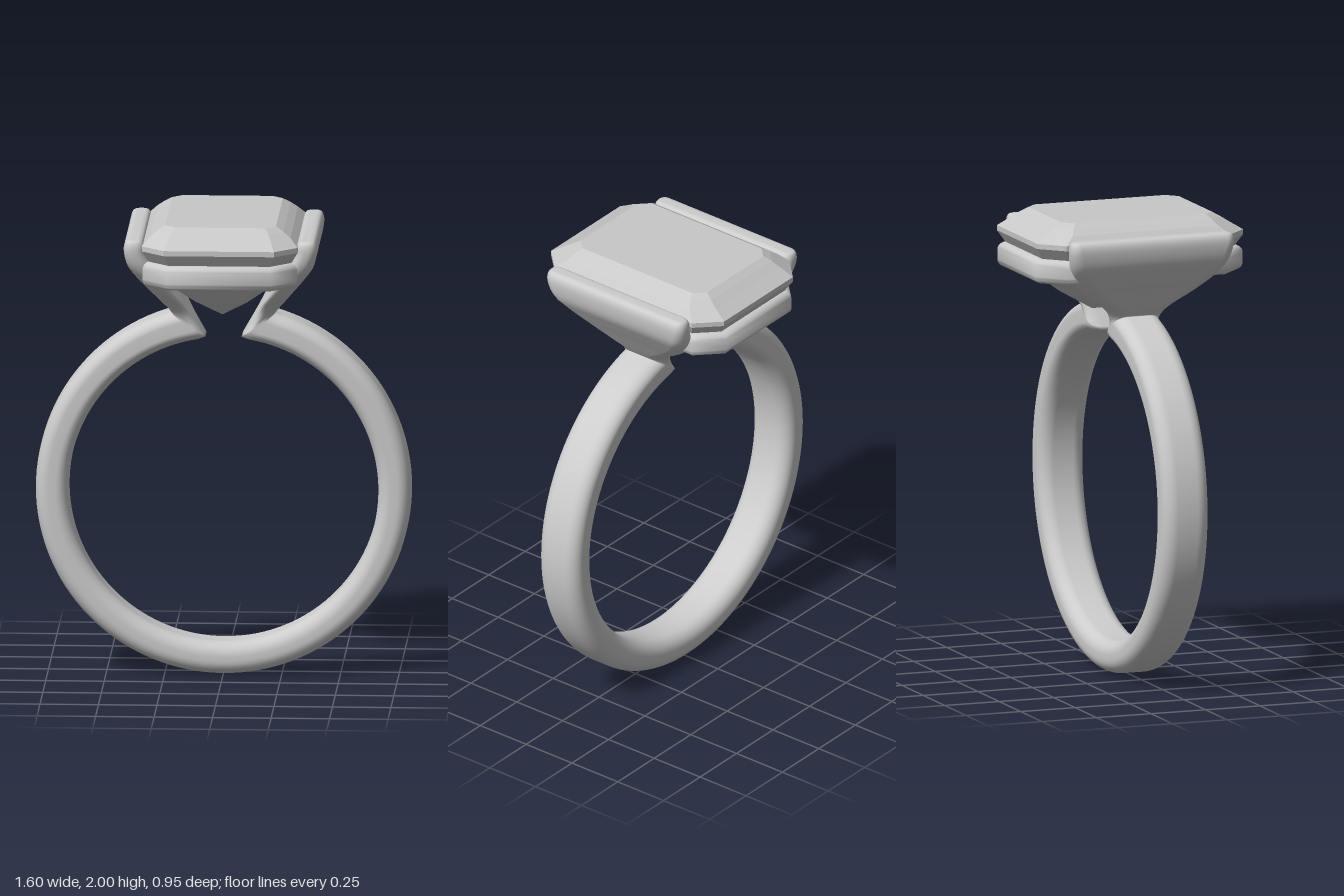
import * as THREE from 'three';
import { toCreasedNormals } from 'three/addons/utils/BufferGeometryUtils.js';

const metal = new THREE.MeshStandardMaterial({ color: 0xcccccc });
metal.name = 'polished metal';
const stone = new THREE.MeshStandardMaterial({ color: 0xc8c8c8 });
stone.name = 'pale stone';

// Skins a list of equal-length point rings and closes both ends
function loft(rings) {
  const n = rings[0].length, pos = [], index = [];
  rings.forEach(r => r.forEach(p => pos.push(p.x, p.y, p.z)));
  for (let i = 0; i < rings.length - 1; i++) {
    for (let j = 0; j < n; j++) {
      const k = (j + 1) % n;
      const a = i * n + j, b = i * n + k, c = b + n, d = a + n;
      index.push(a, b, c, a, c, d);
    }
  }
  [0, rings.length - 1].forEach((i, end) => {
    const mid = new THREE.Vector3();
    rings[i].forEach(p => mid.addScaledVector(p, 1 / n));
    const m = pos.length / 3;
    pos.push(mid.x, mid.y, mid.z);
    for (let j = 0; j < n; j++) {
      const a = i * n + j, b = i * n + (j + 1) % n;
      if (end) index.push(m, a, b);
      else index.push(m, b, a);
    }
  });
  const g = new THREE.BufferGeometry();
  g.setAttribute('position', new THREE.Float32BufferAttribute(pos, 3));
  g.setIndex(index);
  return g;
}

// Rounded-rectangle section from an inner to an outer point, w = half width in z
function section(ix, iy, ox, oy, w) {
  const len = Math.hypot(ox - ix, oy - iy), a = len / 2;
  const ux = (ox - ix) / len, uy = (oy - iy) / len;
  const r = Math.min(a * 0.88, 0.06), ring = [], steps = 7;
  for (let q = 0; q < 4; q++) {
    const su = q === 0 || q === 3 ? 1 : -1, sv = q < 2 ? 1 : -1;
    for (let s = 0; s <= steps; s++) {
      const t = (q + s / steps) * Math.PI / 2;
      const u = su * (a - r) + r * Math.cos(t), v = sv * (w - r) + r * Math.sin(t);
      ring.push(new THREE.Vector3((ix + ox) / 2 + ux * u, (iy + oy) / 2 + uy * u, v));
    }
  }
  return ring;
}

// Octagonal outline with cut corners, counter-clockwise about +y
function octagon(hx, hz, cut) {
  const x = hx - cut, z = hz - cut;
  return [[x, hz], [hx, z], [hx, -z], [x, -hz], [-x, -hz], [-hx, -z], [-hx, z], [-x, hz]];
}

// Open band whose two ends fold back and flare into wide claws
function bandGeometry() {
  // inner x, inner y, outer x, outer y, half width
  const rows = [
    [0.077, 1.466, 0.222, 1.573, 0.105], [0.105, 1.515, 0.235, 1.590, 0.108],
    [0.150, 1.590, 0.255, 1.618, 0.138], [0.190, 1.660, 0.305, 1.690, 0.235],
    [0.235, 1.735, 0.355, 1.760, 0.315], [0.285, 1.815, 0.397, 1.825, 0.357],
    [0.320, 1.880, 0.412, 1.890, 0.372], [0.325, 1.915, 0.410, 1.922, 0.372],
    [0.335, 1.936, 0.400, 1.938, 0.364], [0.350, 1.943, 0.385, 1.943, 0.345],
  ];
  const inner = new THREE.CatmullRomCurve3(rows.map(r => new THREE.Vector3(r[0], r[1], r[4])));
  const outer = new THREE.CatmullRomCurve3(rows.map(r => new THREE.Vector3(r[2], r[3], 0)));
  const claw = side => {
    const rings = [];
    for (let i = 0; i <= 36; i++) {
      const p = inner.getPoint(i / 36), q = outer.getPoint(i / 36);
      rings.push(section(side * p.x, p.y, side * q.x, q.y, p.z));
    }
    return rings;
  };
  const hoop = [], cy = 0.802, rIn = 0.667 - 0.005, rOut = 0.802, N = 120;
  const inStart = Math.atan2(0.077, 0.664), outStart = Math.atan2(0.222, 0.771);
  for (let i = 1; i < N; i++) {
    const a = THREE.MathUtils.lerp(inStart, Math.PI * 2 - inStart, i / N);
    const b = THREE.MathUtils.lerp(outStart, Math.PI * 2 - outStart, i / N);
    hoop.push(section(rIn * Math.sin(a), cy + rIn * Math.cos(a),
      rOut * Math.sin(b), cy + rOut * Math.cos(b), 0.105));
  }
  const g = loft([...claw(1).reverse(), ...hoop, ...claw(-1)]);
  g.computeVertexNormals();
  return g;
}

// Step-cut stone: keel, pavilion steps, girdle, crown steps, table
function stoneGeometry() {
  const levels = [ // y, half x, half z, corner cut
    [1.580, 0.004, 0.130, 0.003], [1.650, 0.110, 0.250, 0.035],
    [1.750, 0.235, 0.375, 0.070], [1.850, 0.305, 0.440, 0.090],
    [1.900, 0.333, 0.472, 0.097], [1.922, 0.333, 0.472, 0.097],
    [1.957, 0.300, 0.415, 0.080], [1.980, 0.270, 0.380, 0.062],
    [2.000, 0.237, 0.345, 0.045],
  ];
  const rings = levels.map(([y, hx, hz, c]) =>
    octagon(hx, hz, c).map(([x, z]) => new THREE.Vector3(x, y, z)));
  const g = loft(rings).toNonIndexed();
  g.computeVertexNormals();
  return g;
}

// Rounded octagonal rail that holds the stone
function railGeometry() {
  const points = o => o.map(([x, z]) => new THREE.Vector2(x, z));
  const shape = new THREE.Shape(points(octagon(0.298, 0.443, 0.088)));
  shape.holes.push(new THREE.Path(points(octagon(0.27, 0.415, 0.078))));
  const g = new THREE.ExtrudeGeometry(shape, {
    depth: 0.043, bevelEnabled: true, bevelThickness: 0.032, bevelSize: 0.032, bevelSegments: 6,
  });
  g.rotateX(-Math.PI / 2);
  g.translate(0, 1.777, 0);
  return toCreasedNormals(g, Math.PI / 3.5);
}

export function createModel() {
  const group = new THREE.Group();
  group.name = 'ring';
  const add = (name, geometry, material) => {
    const mesh = new THREE.Mesh(geometry, material);
    mesh.name = name;
    group.add(mesh);
  };
  add('bandWithClaws', bandGeometry(), metal);
  add('settingRail', railGeometry(), metal);
  add('stone', stoneGeometry(), stone);
  return group;
}
